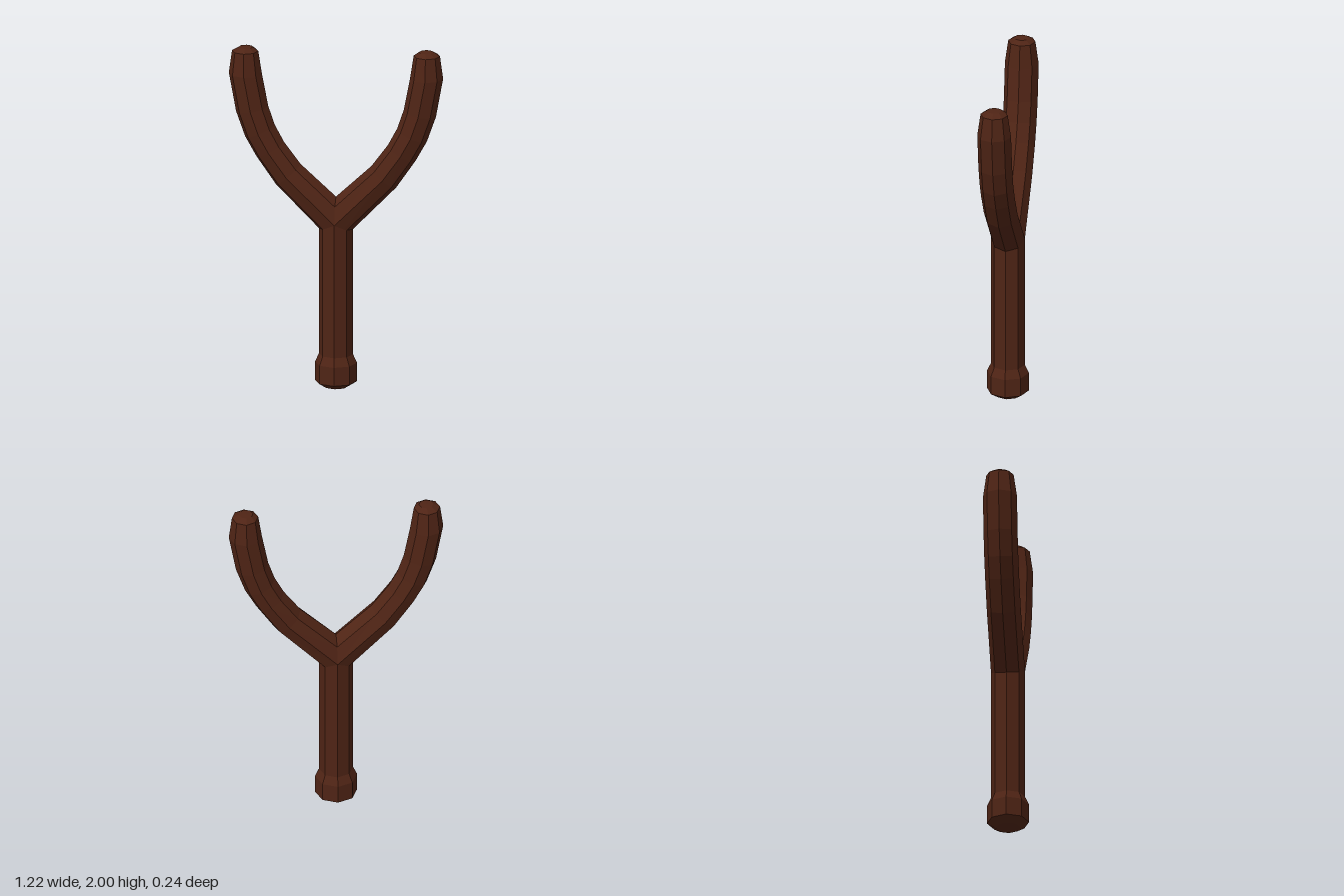
import * as THREE from 'three';

const SIDES = 8;
const wood = new THREE.MeshStandardMaterial({ color: 0x4f2415, flatShading: true, roughness: 0.9 });

// Octagonal tube through rings given as [outerX, outerY, innerX, innerY, halfDepth]
function armGeometry(rings) {
  const positions = [];
  const index = [];
  for (const [ox, oy, ix, iy, depth] of rings) {
    for (let k = 0; k < SIDES; k++) {
      const a = (k / SIDES) * Math.PI * 2;
      const t = (1 + Math.cos(a)) / 2;
      positions.push(ix + (ox - ix) * t, iy + (oy - iy) * t, depth * Math.sin(a));
    }
  }
  for (let i = 0; i < rings.length - 1; i++) {
    for (let k = 0; k < SIDES; k++) {
      const a = i * SIDES + k;
      const b = i * SIDES + ((k + 1) % SIDES);
      index.push(a, a + SIDES, b + SIDES, a, b + SIDES, b);
    }
  }
  // Close the tip with a fan
  const [ox, oy, ix, iy] = rings[rings.length - 1];
  const centre = positions.length / 3;
  positions.push((ox + ix) / 2, (oy + iy) / 2 + 0.002, 0);
  const last = (rings.length - 1) * SIDES;
  for (let k = 0; k < SIDES; k++) index.push(centre, last + ((k + 1) % SIDES), last + k);

  const geometry = new THREE.BufferGeometry();
  geometry.setAttribute('position', new THREE.Float32BufferAttribute(positions, 3));
  geometry.setIndex(index);
  geometry.computeVertexNormals();
  return geometry;
}

export function createModel() {
  const group = new THREE.Group();
  group.name = 'slingshotFrame';

  // Handle with a flared, bevelled pommel
  const profile = [
    [0, 0], [0.07, 0.004], [0.12, 0.036], [0.12, 0.145],
    [0.097, 0.195], [0.097, 0.98], [0, 0.98],
  ].map(([r, y]) => new THREE.Vector2(r, y));
  const handle = new THREE.Mesh(new THREE.LatheGeometry(profile, SIDES), wood);
  handle.name = 'handle';
  group.add(handle);

  // Curved fork arms, mitred together at x = 0
  const arm = armGeometry([
    [0, 0.835, 0, 1.125, 0.097],
    [0.344, 1.19, 0.202, 1.312, 0.097],
    [0.455, 1.352, 0.297, 1.44, 0.097],
    [0.519, 1.467, 0.35, 1.54, 0.097],
    [0.571, 1.615, 0.387, 1.65, 0.097],
    [0.612, 1.842, 0.423, 1.838, 0.097],
    [0.594, 1.974, 0.444, 1.974, 0.078],
    [0.556, 1.996, 0.474, 1.996, 0.043],
  ]);
  for (const [name, turn] of [['leftArm', 0], ['rightArm', Math.PI]]) {
    const mesh = new THREE.Mesh(arm, wood);
    mesh.name = name;
    mesh.rotation.y = turn;
    group.add(mesh);
  }

  return group;
}
